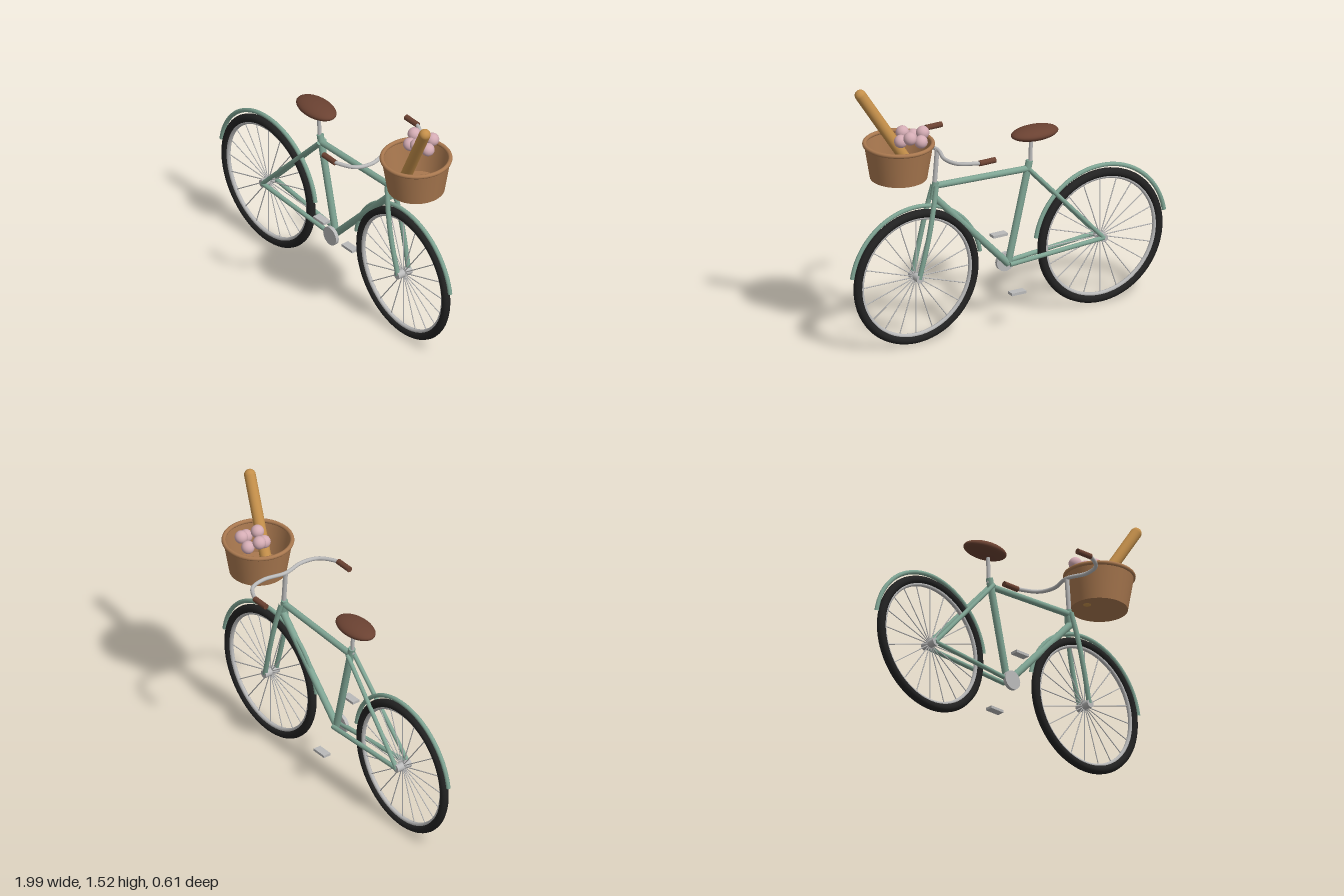
import * as THREE from 'three';

const paint = (name, color) => {
  const m = new THREE.MeshStandardMaterial({ color });
  m.name = name;
  return m;
};
const V = (x, y, z = 0) => new THREE.Vector3(x, y, z);

export function createModel() {
  const green = paint('sage green', 0x7fa594);
  const black = paint('rubber black', 0x222222);
  const chrome = paint('chrome grey', 0xbababa);
  const leather = paint('leather brown', 0x6b4232);
  const wicker = paint('wicker tan', 0xa9784f);
  wicker.side = THREE.DoubleSide;
  const crust = paint('bread crust', 0xc48f4a);
  const pink = paint('pale pink', 0xd4acb4);

  const model = new THREE.Group();
  model.name = 'bicycle';

  const add = (name, geometry, material, pos = V(0, 0), parent = model) => {
    const mesh = new THREE.Mesh(geometry, material);
    mesh.name = name;
    mesh.position.copy(pos);
    parent.add(mesh);
    return mesh;
  };
  // straight round bar from a to b
  const bar = (name, a, b, r, material, parent = model, sides = 16) => {
    const d = b.clone().sub(a);
    const mesh = add(name, new THREE.CylinderGeometry(r, r, d.length(), sides), material,
      a.clone().add(b).multiplyScalar(0.5), parent);
    mesh.quaternion.setFromUnitVectors(V(0, 1), d.normalize());
    return mesh;
  };
  const bend = (name, points, r, material, steps = 32) =>
    add(name, new THREE.TubeGeometry(new THREE.CatmullRomCurve3(points), steps, r, 12), material);

  // Wheels and mudguards
  const axleY = 0.394, axleX = 0.58;
  for (const [label, x] of [['rear', -axleX], ['front', axleX]]) {
    const wheel = new THREE.Group();
    wheel.name = label + 'Wheel';
    wheel.position.set(x, axleY, 0);
    model.add(wheel);
    add('tyre', new THREE.TorusGeometry(0.367, 0.024, 14, 72), black, V(0, 0), wheel);
    add('rim', new THREE.TorusGeometry(0.343, 0.012, 10, 72), chrome, V(0, 0), wheel);
    bar('hub', V(0, 0, -0.048), V(0, 0, 0.048), 0.023, chrome, wheel, 20);
    for (let i = 0; i < 20; i++) {
      const a = (i * Math.PI) / 10;
      bar('spoke', V(0, 0), V(0.34 * Math.cos(a), 0.34 * Math.sin(a)), 0.003, chrome, wheel, 6);
    }
    const guard = add(label + 'Mudguard',
      new THREE.TorusGeometry(0.408, 0.012, 12, 48, Math.PI - 0.32), green, V(x, axleY + 0.004));
    guard.rotation.z = 0.16;
  }

  // Frame
  const bracket = V(0, 0.35);
  bar('seatTube', bracket, V(-0.135, 0.93), 0.02, green);
  bar('topTube', V(-0.12, 0.885), V(0.465, 0.907), 0.018, green);
  bar('downTube', bracket, V(0.47, 0.845), 0.02, green);
  bar('headTube', V(0.456, 0.93), V(0.475, 0.83), 0.019, green);
  for (const s of [-1, 1]) {
    bar('seatStay', V(-0.12, 0.89, s * 0.02), V(-axleX, axleY, s * 0.042), 0.012, green);
    bar('chainStay', V(0, 0.352, s * 0.025), V(-axleX, axleY, s * 0.042), 0.013, green);
    bend('forkBlade', [V(0.462, 0.91, s * 0.018), V(0.495, 0.76, s * 0.036),
      V(0.53, 0.6, s * 0.043), V(axleX, axleY, s * 0.038)], 0.014, green);
  }

  // Chainring and pedals
  bar('chainring', V(0, 0.35, 0.024), V(0, 0.35, 0.044), 0.055, chrome, model, 32);
  for (const s of [-1, 1])
    add('pedal', new THREE.BoxGeometry(0.09, 0.015, 0.045), chrome, V(0, 0.35 + s * 0.134, s * 0.1));

  // Saddle
  bar('seatPost', V(-0.14, 0.9), V(-0.146, 1.08), 0.011, chrome);
  add('saddle', new THREE.SphereGeometry(1, 32, 20), leather, V(-0.168, 1.088)).scale.set(0.142, 0.037, 0.083);

  // Handlebar
  bar('stem', V(0.464, 0.91), V(0.447, 1.118), 0.013, chrome);
  bend('handlebar', [V(0.33, 1.12, -0.29), V(0.37, 1.12, -0.28), V(0.45, 1.115, -0.225),
    V(0.474, 1.113, -0.13), V(0.445, 1.117, 0), V(0.474, 1.113, 0.13),
    V(0.45, 1.115, 0.225), V(0.37, 1.12, 0.28), V(0.33, 1.12, 0.29)], 0.011, chrome, 72);
  for (const s of [-1, 1])
    bar('grip', V(0.25, 1.12, s * 0.29), V(0.35, 1.12, s * 0.29), 0.016, leather);

  // Basket
  const basketX = 0.69;
  add('basketWall', new THREE.CylinderGeometry(0.19, 0.157, 0.2, 40, 1, true), wicker, V(basketX, 1.107));
  add('basketFloor', new THREE.CylinderGeometry(0.157, 0.157, 0.008, 40), wicker, V(basketX, 1.011));
  add('basketRim', new THREE.TorusGeometry(0.187, 0.012, 12, 48), wicker, V(basketX, 1.205)).rotation.x = Math.PI / 2;

  // Bread stick
  const low = V(0.597, 1.03, 0.002), high = V(0.877, 1.495, 0.092);
  const axis = high.clone().sub(low);
  const loaf = add('breadStick', new THREE.CapsuleGeometry(0.032, axis.length(), 10, 20), crust,
    low.clone().add(high).multiplyScalar(0.5));
  loaf.quaternion.setFromUnitVectors(V(0, 1), axis.normalize());

  // Ring of blossoms, alternating in height
  for (let i = 0; i < 6; i++) {
    const a = (i * Math.PI) / 3 + 0.1;
    add('blossom', new THREE.SphereGeometry(0.037, 20, 14), pink,
      V(0.648 + 0.066 * Math.cos(a), i % 2 ? 1.275 : 1.245, -0.07 + 0.06 * Math.sin(a)));
  }

  return model;
}
